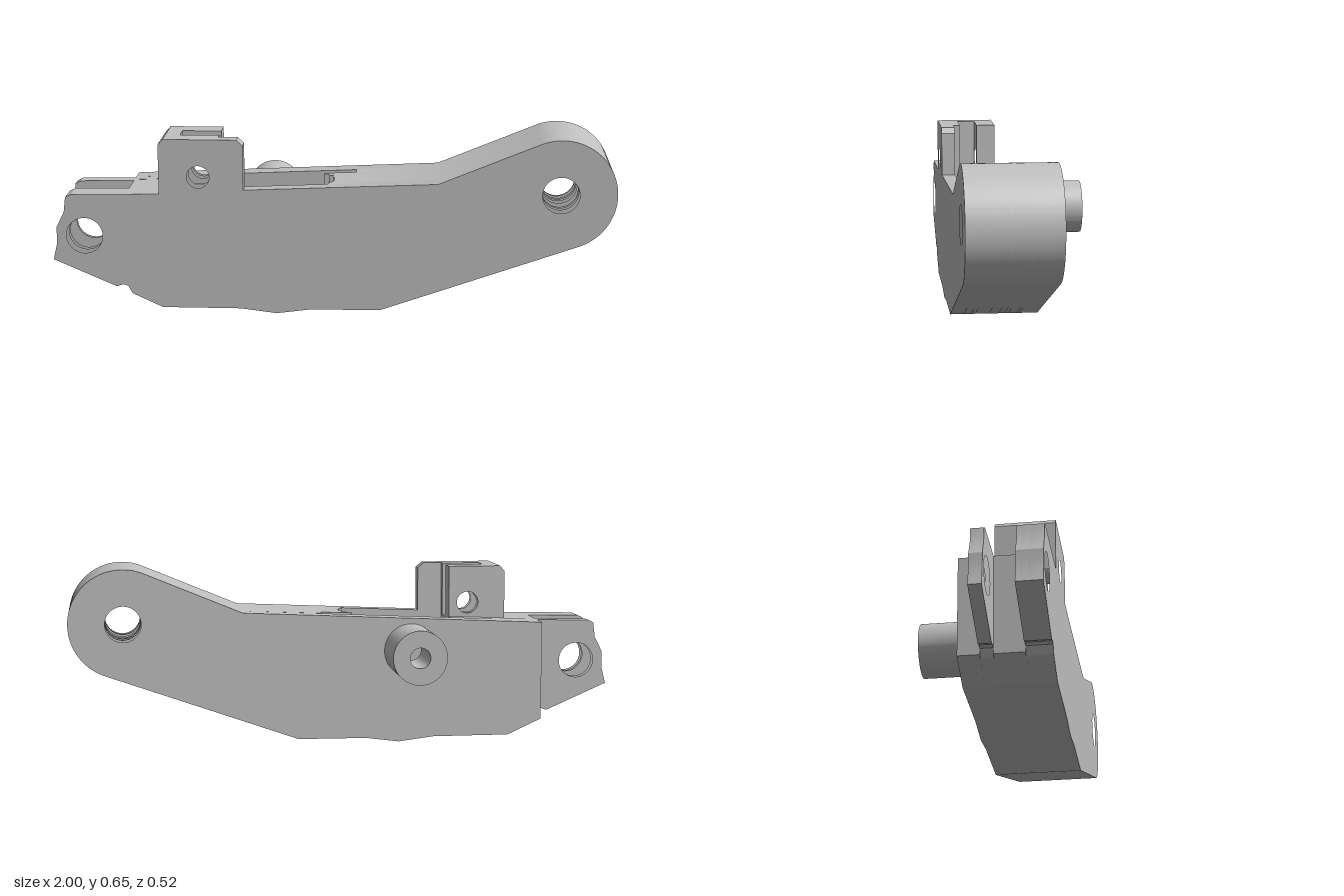
import * as THREE from 'three';
import { toCreasedNormals } from 'three/addons/utils/BufferGeometryUtils.js';

const AXLE = [-0.245, 0.338];   // axis of the boss and of the round pocket
const EYE = [0.8, 0.45];        // big eye at the right end
const R_EYE = 0.197;
const topY = (x) => 0.455 + (x + 0.315) * 0.0438;

function circle(x, y, r) {
  const p = new THREE.Path();
  p.absarc(x, y, r, 0, Math.PI * 2, true);
  return p;
}

function slab(shape, z0, z1) {
  const g = new THREE.ExtrudeGeometry(shape, { depth: z1 - z0, bevelEnabled: false, curveSegments: 32 });
  g.translate(0, 0, z0);
  return toCreasedNormals(g, 0.4);
}

// Side outline of one slice of the arm.
// lug: fork arm at the left; block: none | back | slot | full
// pocket: round pocket cut from above; shelf: [right end, floor] of its side recess
function slice({ lug, block, pocket, shelf, axleHole }) {
  const s = new THREE.Shape();
  const line = (...pts) => pts.forEach(([x, y]) => s.lineTo(x, y));

  // left end
  if (lug) {
    s.moveTo(-1, 0.19);
    line([-0.985, 0.25], [-0.985, 0.31], [-0.957, 0.365], [-0.95, 0.42], [-0.93, 0.43], [-0.735, 0.434]);
  } else {
    s.moveTo(-0.735, 0.073);
    line([-0.735, 0.434]);
  }

  // upright block
  if (block) line([-0.615, 0.437], [-0.615, 0.615], [-0.597, 0.635]);
  if (block === 'back') line([-0.405, 0.635]);
  if (block === 'slot') line([-0.545, 0.635], [-0.545, 0.44], [-0.405, 0.44]);
  if (block === 'full') line([-0.337, 0.635], [-0.315, 0.615], [-0.315, 0.455]);

  // round-bottomed pocket
  if (pocket) {
    if (!block) line([-0.405, 0.448]);
    line([-0.405, AXLE[1]]);
    s.absarc(AXLE[0], AXLE[1], 0.16, Math.PI, Math.PI * 2, false);
    if (shelf) line([-0.085, shelf[1]], [shelf[0], shelf[1]], [shelf[0], topY(shelf[0])]);
    else line([-0.085, topY(-0.085)]);
  }

  // rounded right end and belly
  line([0.37, 0.485]);
  s.absarc(EYE[0], EYE[1], R_EYE, 1.965, -1.236, true);
  line([0.17, 0.018], [-0.08, 0.016], [-0.2, 0], [-0.33, 0.016], [-0.61, 0.016]);
  if (lug) line([-0.718, 0.066], [-0.735, 0.095], [-0.75, 0.1], [-0.775, 0.092]);
  s.closePath();

  // bores
  s.holes.push(circle(EYE[0], EYE[1], 0.065));
  if (lug) s.holes.push(circle(-0.885, 0.28, 0.065));
  if (block === 'back' || block === 'full') s.holes.push(circle(-0.475, 0.5, 0.04));
  if (axleHole) s.holes.push(circle(AXLE[0], AXLE[1], 0.037));
  return s;
}

export function createModel() {
  const group = new THREE.Group();
  const grey = new THREE.MeshStandardMaterial({ color: 0xc0c0c0 });
  grey.name = 'plain grey';
  const add = (name, geometry) => {
    const m = new THREE.Mesh(geometry, grey);
    m.name = name;
    group.add(m);
  };

  // side recess whose end wall is rounded in plan
  const round = (z0, z1) => {
    const t = ((z0 + z1) / 2 - 0.138) / 0.1;
    return [-0.1 + 0.1 * Math.sqrt(Math.max(0.05, 1 - t * t)), 0.345];
  };

  // arm body, stacked from back to front
  const slot = [0.075, 0.41];
  const layers = [
    ['backWall', -0.055, 0.01, { axleHole: true }],
    ['innerWall', 0.01, 0.02, { pocket: true, shelf: slot }],
    ['backLug', 0.02, 0.05, { lug: true, pocket: true, shelf: slot }],
    ['blockBackEdge', 0.05, 0.065, { lug: true, block: 'back', pocket: true, shelf: round(0.05, 0.065) }],
    ['blockBackInner', 0.065, 0.085, { block: 'back', pocket: true, shelf: round(0.065, 0.085) }],
    ['blockBackWall', 0.085, 0.12, { block: 'back', pocket: true, shelf: round(0.085, 0.12) }],
    ['slottedCore', 0.12, 0.17, { block: 'slot', pocket: true, shelf: round(0.12, 0.17) }],
    ['frontLugInner', 0.17, 0.185, { lug: true, block: 'slot', pocket: true, shelf: round(0.17, 0.185) }],
    ['blockFrontInner', 0.185, 0.21, { lug: true, block: 'back', pocket: true, shelf: round(0.185, 0.21) }],
    ['frontWall', 0.21, 0.26, { lug: true, block: 'full' }],
  ];
  for (const [name, z0, z1, options] of layers) add(name, slab(slice(options), z0, z1));

  // hollow boss on the back
  const ring = new THREE.Shape();
  ring.absarc(AXLE[0], AXLE[1], 0.098, 0, Math.PI * 2, false);
  ring.holes.push(circle(AXLE[0], AXLE[1], 0.037));
  add('boss', slab(ring, -0.26, -0.055));

  return group;
}
